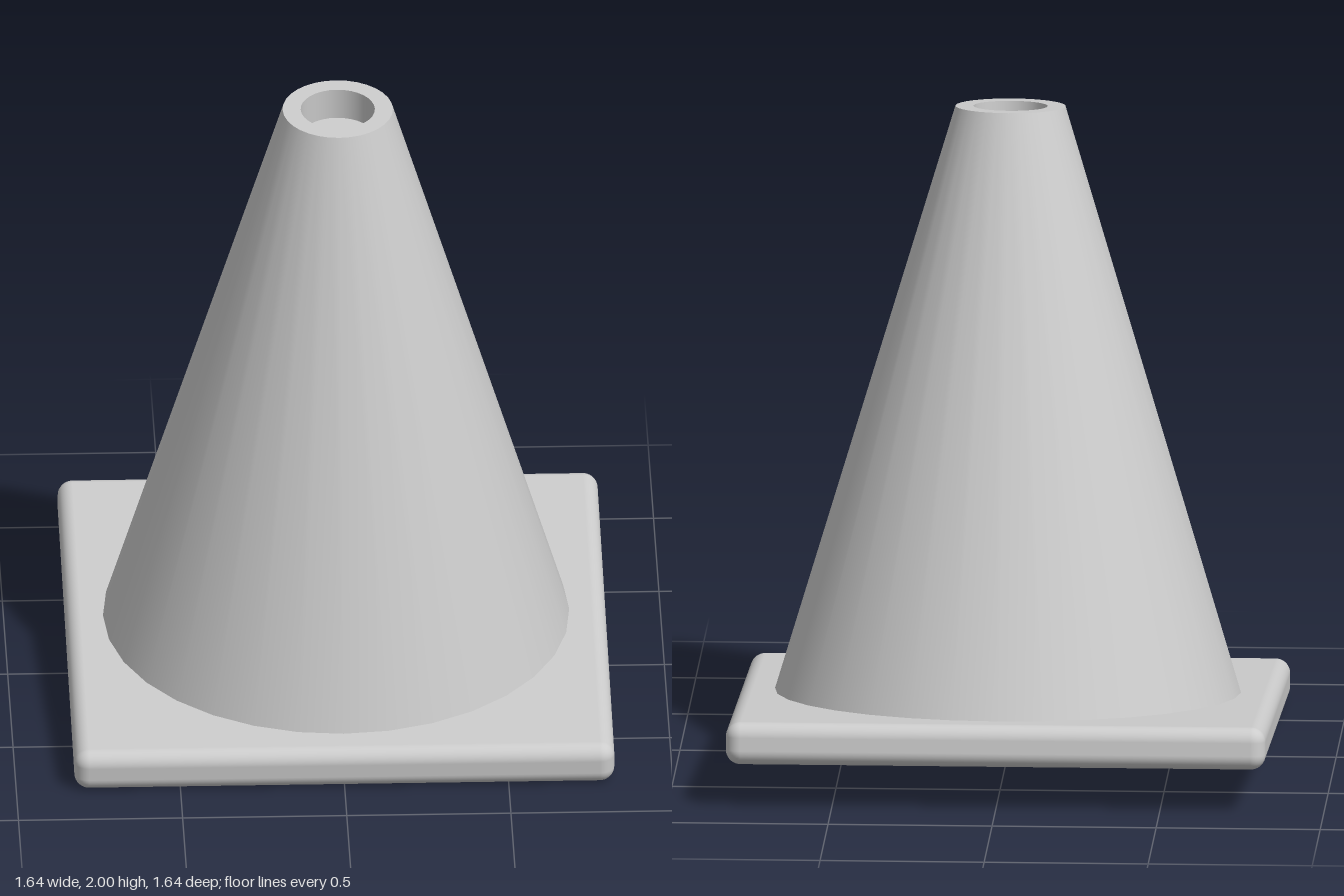
import * as THREE from 'three';
import { RoundedBoxGeometry } from 'three/addons/geometries/RoundedBoxGeometry.js';

const SIDES = 32;
const BASE_TOP = 0.065, CONE_TOP = 1.86;
const TOP_RADIUS = 0.168, HOLE_RADIUS = 0.113, HOLE_DEPTH = 0.1;

export function createModel() {
  const model = new THREE.Group();
  const grey = new THREE.MeshStandardMaterial({ color: 0xcccccc });
  grey.name = 'light grey';

  // Whole cone leans forward about the centre of its base
  const cone = new THREE.Group();
  cone.name = 'trafficCone';
  cone.position.y = 0.1327;
  cone.rotation.x = THREE.MathUtils.degToRad(5);
  model.add(cone);

  const add = (name, geometry) => {
    const mesh = new THREE.Mesh(geometry, grey);
    mesh.name = name;
    cone.add(mesh);
  };

  // Square slab with rounded edges
  add('base', new RoundedBoxGeometry(1.645, 0.13, 1.645, 5, 0.045));

  // Each lathe is one smooth surface, so the rims between them stay sharp
  const lathe = (...points) =>
    new THREE.LatheGeometry(points.map(([r, y]) => new THREE.Vector2(r, y)), SIDES);
  const floor = CONE_TOP - HOLE_DEPTH;

  add('coneBody', lathe([0.71, BASE_TOP], [TOP_RADIUS, CONE_TOP]));
  add('topRim', lathe([TOP_RADIUS, CONE_TOP], [HOLE_RADIUS, CONE_TOP]));
  add('holeWall', lathe([HOLE_RADIUS, CONE_TOP], [HOLE_RADIUS, floor]));
  add('holeFloor', lathe([HOLE_RADIUS, floor], [0, floor]));

  return model;
}
